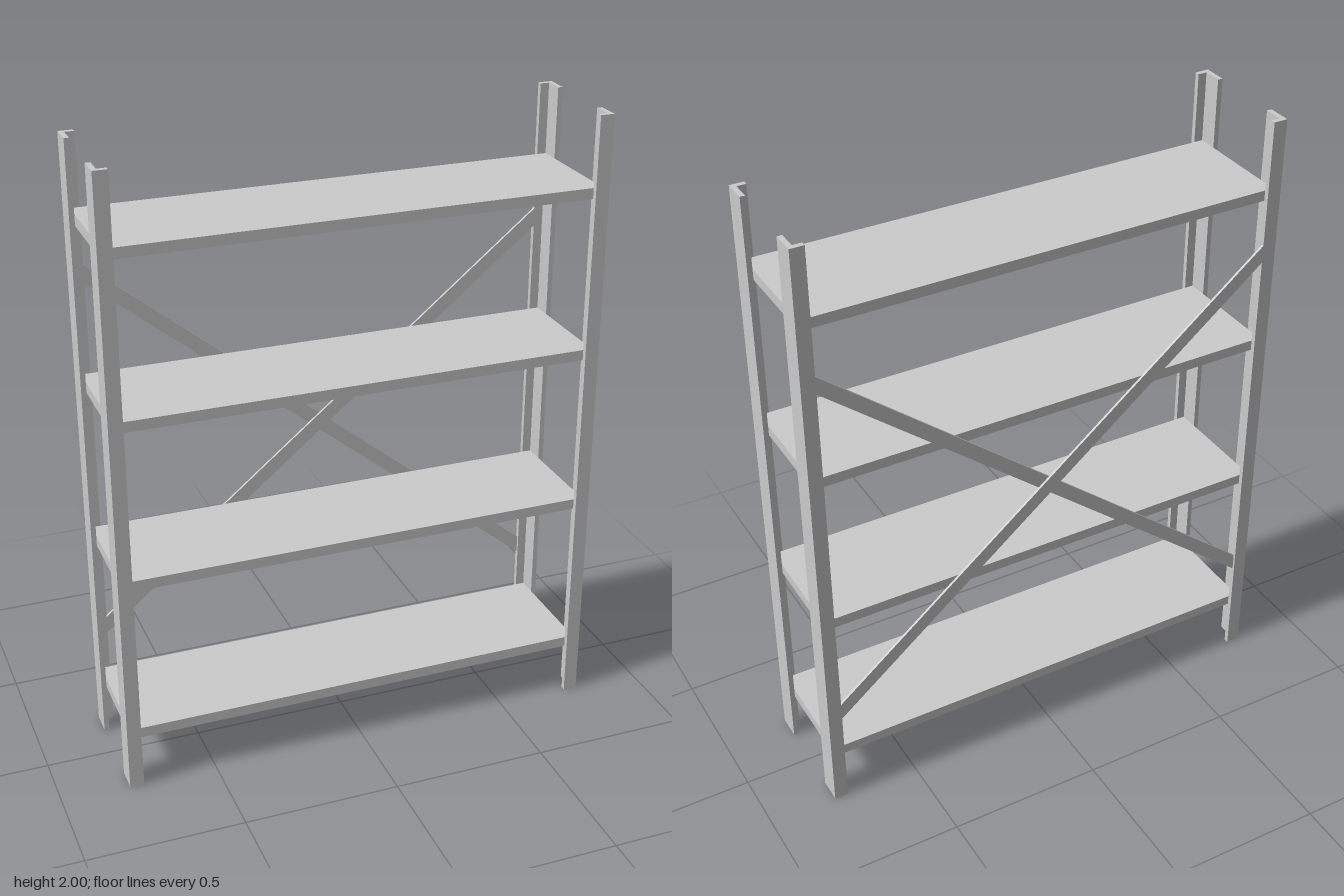
import * as THREE from 'three';

const material = new THREE.MeshStandardMaterial({ color: 0xcccccc, flatShading: true });

const HX = 0.783, HZ = 0.203;        // outer half width and half depth
const FX = 0.045, FZ = 0.078;        // angle-post flange widths
const T = 0.016;                     // post wall thickness

function extrude(points, depth) {
  const shape = new THREE.Shape(points.map(([x, y]) => new THREE.Vector2(x, y)));
  return new THREE.ExtrudeGeometry(shape, { depth, bevelEnabled: false });
}

function add(group, name, geometry) {
  const mesh = new THREE.Mesh(geometry, material);
  mesh.name = name;
  group.add(mesh);
  return mesh;
}

// L-shaped post with its outer corner at (sx * HX, sz * HZ)
function postGeometry(sx, sz) {
  const profile = [[0, 0], [FX, 0], [FX, T], [T, T], [T, FZ], [0, FZ]];
  const points = profile.map(([x, z]) => [sx * (HX - x), -sz * (HZ - z)]);
  return extrude(points, 2).rotateX(-Math.PI / 2);
}

export function createModel() {
  const group = new THREE.Group();
  group.name = 'shelvingUnit';

  // Four corner posts
  for (const [sx, side] of [[-1, 'Right'], [1, 'Left']]) {
    for (const [sz, end] of [[1, 'front'], [-1, 'back']]) {
      add(group, `${end}${side}Post`, postGeometry(sx, sz));
    }
  }

  // Four evenly spaced shelves fitted inside the posts
  const shelfH = 0.034;
  for (let i = 0; i < 4; i++) {
    const shelf = add(group, `shelf${i + 1}`,
      new THREE.BoxGeometry(2 * (HX - T), shelfH, 2 * (HZ - T)));
    shelf.position.y = 0.2 + i * 0.5247 - shelfH / 2;
  }

  // Crossed flat braces, one behind the other, with ends cut along the posts
  const bx = HX - FX, rise = 0.603, half = 0.029, midY = 0.963;
  for (const [s, name, z] of [[-1, 'outerBrace', -HZ], [1, 'innerBrace', -HZ + T / 2]]) {
    const brace = add(group, name, extrude([
      [-bx, -s * rise - half], [bx, s * rise - half],
      [bx, s * rise + half], [-bx, -s * rise + half],
    ], T / 2));
    brace.position.set(0, midY, z);
  }

  return group;
}
